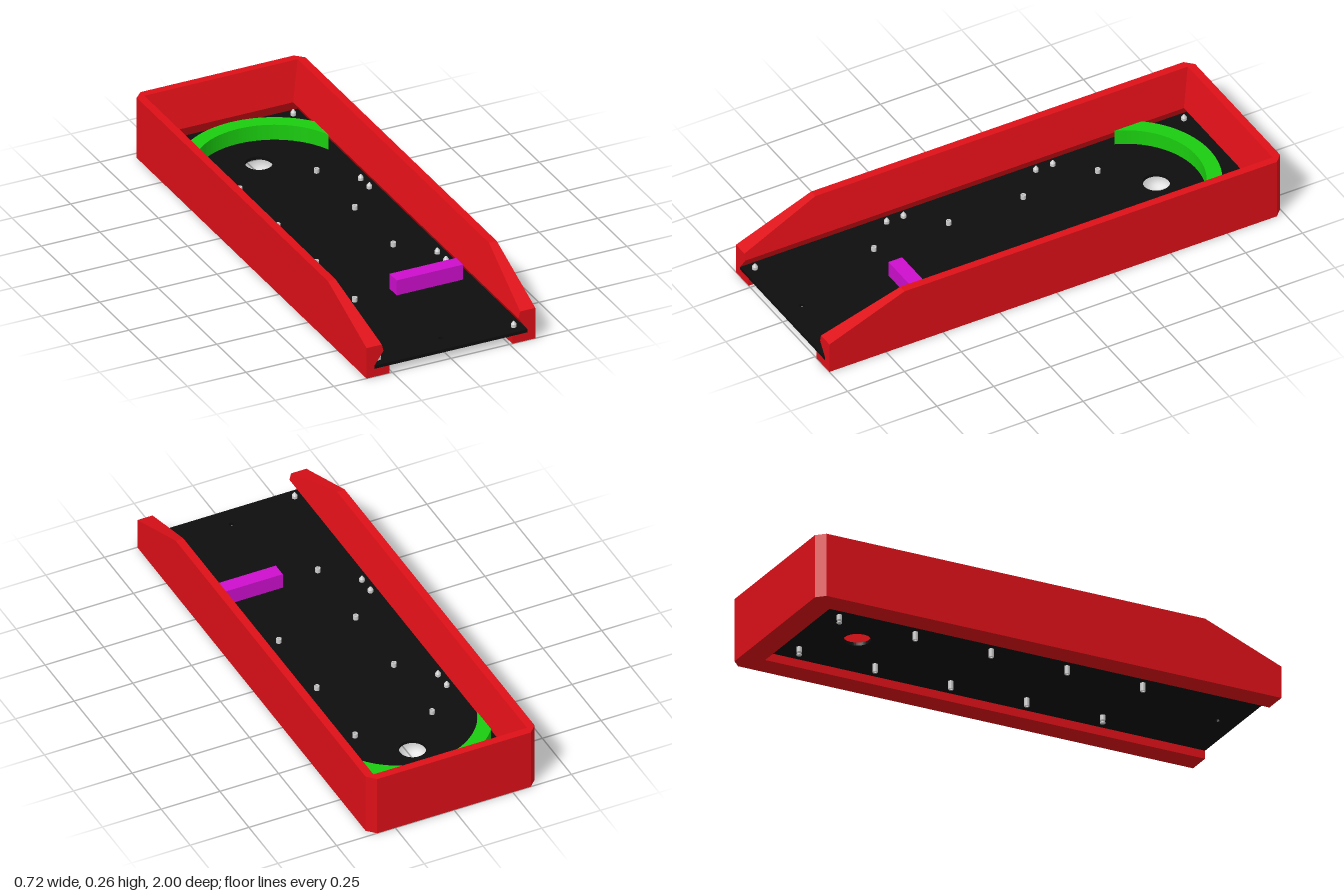
import * as THREE from 'three';

const mat = (color, extra = {}) => new THREE.MeshStandardMaterial({ color, ...extra });
const red = mat(0xdd0f17, { flatShading: true });
const black = mat(0x0d0d0d);
const green = mat(0x1acc0f);
const magenta = mat(0xcc0ecc);
const grey = mat(0xcccccc, { flatShading: true });

const W = 0.36, L = 1, CHAMFER = 0.033;
const BOARD_Y = 0.034, BOARD_TOP = 0.047, BLOCK_TOP = 0.112;
const PEG_X = 0.164, PEG_R = 0.0105;

function add(parent, name, geometry, material, x = 0, y = 0, z = 0) {
  const mesh = new THREE.Mesh(geometry, material);
  mesh.name = name;
  mesh.position.set(x, y, z);
  parent.add(mesh);
  return mesh;
}

// Flat plan (x, -z) raised to a slab between two heights
function slab(shape, y0, y1) {
  const g = new THREE.ExtrudeGeometry(shape, { depth: y1 - y0, bevelEnabled: false, curveSegments: 24 });
  return g.rotateX(-Math.PI / 2).translate(0, y0, 0);
}

// Wall cross-section as (inset from outside, height), with a groove that holds the board
const profile = (top, topInset) => [
  [0, 0], [0, top], [topInset, top], [0.072, 0.103],
  [0.033, BOARD_TOP], [0.033, BOARD_Y], [0.098, BOARD_Y], [0.098, 0],
];

// Cross-section swept round three sides, with low front ends and chamfered back corners
function wallGeometry() {
  const low = profile(0.132, 0.065), full = profile(0.262, 0.033);
  const sideAt = (prof, s, z) => prof.map(([d, y]) => new THREE.Vector3(s * (W - d), y, z));
  const corner = (s, onSide) => full.map(([d, y]) => {
    const dx = onSide ? d : Math.max(d, CHAMFER);
    const dz = onSide ? Math.max(d, CHAMFER) : d;
    return new THREE.Vector3(s * (W - dx), y, -(L - dz));
  });
  const rings = [
    sideAt(low, 1, L), sideAt(full, 1, 0.67), corner(1, true), corner(1, false),
    corner(-1, false), corner(-1, true), sideAt(full, -1, 0.67), sideAt(low, -1, L),
  ];
  const pts = [];
  const n = full.length;
  for (let s = 0; s < rings.length - 1; s++) {
    for (let i = 0; i < n; i++) {
      const j = (i + 1) % n;
      const a = rings[s][i], b = rings[s][j], c = rings[s + 1][j], d = rings[s + 1][i];
      pts.push(a, d, c, a, c, b);
    }
  }
  // Front end caps
  const outline = low.map(([d, y]) => new THREE.Vector2(-d, y));
  const last = rings[rings.length - 1];
  for (const [a, b, c] of THREE.ShapeUtils.triangulateShape(outline, [])) {
    pts.push(rings[0][a], rings[0][b], rings[0][c], last[a], last[c], last[b]);
  }
  const g = new THREE.BufferGeometry().setFromPoints(pts);
  g.computeVertexNormals();
  return g;
}

function lathe(points, segments = 16) {
  return new THREE.LatheGeometry(points.map(([r, y]) => new THREE.Vector2(r, y)), segments);
}

export function createModel() {
  const model = new THREE.Group();
  model.name = 'tabletopRampGame';

  add(model, 'wall', wallGeometry(), red);

  // Peg grid; pegs under the arc and the block are pins of those parts
  const pegs = [];
  for (const z of [-0.807, -0.479, -0.151, 0.177, 0.505]) {
    for (const s of [-1, 1]) {
      pegs.push({ x: s * PEG_X, z, pin: z < -0.8 || (s > 0 && z > 0.5) });
    }
  }

  // Playing board with target hole, small front hole and peg holes
  const plan = new THREE.Shape();
  plan.moveTo(-0.327, -L).lineTo(0.327, -L).lineTo(0.327, 0.967).lineTo(-0.327, 0.967).closePath();
  const hole = (x, z, r) => plan.holes.push(new THREE.Path().absarc(x, -z, r, 0, Math.PI * 2, true));
  hole(0, -0.643, 0.053);
  hole(0, 0.915, 0.01);
  pegs.forEach(p => hole(p.x, p.z, PEG_R));
  add(model, 'board', slab(plan, BOARD_Y, BOARD_TOP), black);

  // Hollow pegs and solid notched pins
  const tube = lathe([[0.006, 0], [PEG_R, 0], [PEG_R, 0.065], [0.006, 0.065], [0.006, 0]]);
  const pin = lathe([[0, 0], [PEG_R, 0], [PEG_R, 0.005], [0.007, 0.007], [PEG_R, 0.013], [PEG_R, BOARD_TOP + 0.002]]);
  for (const p of pegs) add(model, p.pin ? 'mountingPin' : 'peg', p.pin ? pin : tube, grey, p.x, 0, p.z);

  // Pointed studs along both long edges
  const stud = lathe([[0, 0], [0.011, 0], [0.011, 0.019], [0.003, 0.031], [0, 0.031]]);
  for (const z of [-0.929, -0.352, -0.278, 0.304, 0.378, 0.957]) {
    for (const s of [-1, 1]) add(model, 'edgeStud', stud, grey, s * 0.289, 0.04, z);
  }

  // Curved bumper behind the target hole, cut off flush at both sides
  const R = 0.368, r = 0.307, half = 0.286, cy = 0.51;
  const ao = Math.acos(half / R), ai = Math.acos(half / r);
  const arc = new THREE.Shape();
  arc.absarc(0, cy, R, ao, Math.PI - ao, false);
  arc.absarc(0, cy, r, Math.PI - ai, ai, true);
  arc.closePath();
  add(model, 'curvedBumper', slab(arc, BOARD_TOP, BLOCK_TOP), green);

  // Straight obstacle block
  const h = BLOCK_TOP - BOARD_TOP;
  add(model, 'obstacleBlock', new THREE.BoxGeometry(0.283, h, 0.06), magenta, 0.1415, BOARD_TOP + h / 2, 0.505);

  return model;
}
